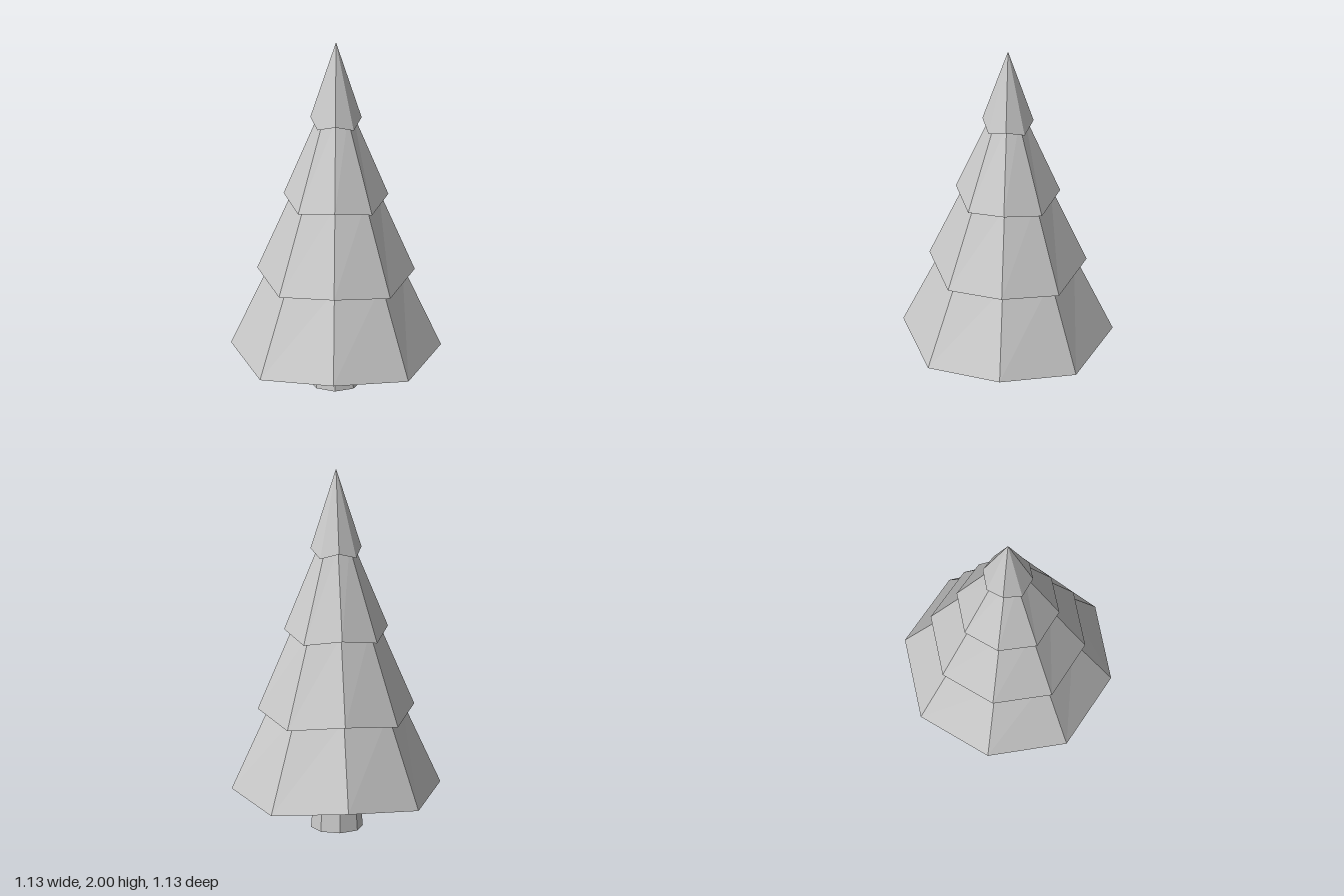
import * as THREE from 'three';

const SIDES = 8;

// One octagonal skirt of branches: every second rim corner is lifted,
// and the underside closes to a point slightly above the low corners.
function makeTier({ rim, base, lift, top, topRadius }, material) {
  const geometry = new THREE.CylinderGeometry(topRadius, rim, top - base, SIDES, 1);
  geometry.translate(0, (top + base) / 2, 0);
  const p = geometry.attributes.position;
  for (let i = 0; i < p.count; i++) {
    if (p.getY(i) > base + 0.001) continue;
    const x = p.getX(i), z = p.getZ(i);
    if (Math.hypot(x, z) < 0.001) p.setY(i, base + 0.012);
    else if (Math.abs(x * z) > 0.001) p.setY(i, base + lift);
  }
  geometry.computeVertexNormals();
  return new THREE.Mesh(geometry, material);
}

export function createModel() {
  const tree = new THREE.Group();
  tree.name = 'tree';
  const material = new THREE.MeshStandardMaterial({ color: 0xcccccc, flatShading: true });

  // Tapered trunk, slightly off centre
  const trunk = new THREE.Mesh(new THREE.CylinderGeometry(0.121, 0.14, 0.25, SIDES), material);
  trunk.name = 'trunk';
  trunk.position.set(0.005, 0.125, -0.01);
  tree.add(trunk);

  // Foliage, from the widest skirt up to the pointed tip
  const tiers = [
    { rim: 0.564, base: 0.185, lift: 0.043, top: 0.69, topRadius: 0.356 },
    { rim: 0.423, base: 0.628, lift: 0.042, top: 1.13, topRadius: 0.23 },
    { rim: 0.281, base: 1.073, lift: 0.038, top: 1.58, topRadius: 0.092 },
    { rim: 0.138, base: 1.525, lift: 0.035, top: 2, topRadius: 0 },
  ];
  tiers.forEach((tier, i) => {
    const mesh = makeTier(tier, material);
    mesh.name = i === tiers.length - 1 ? 'treeTip' : `foliageTier${i + 1}`;
    tree.add(mesh);
  });

  return tree;
}
